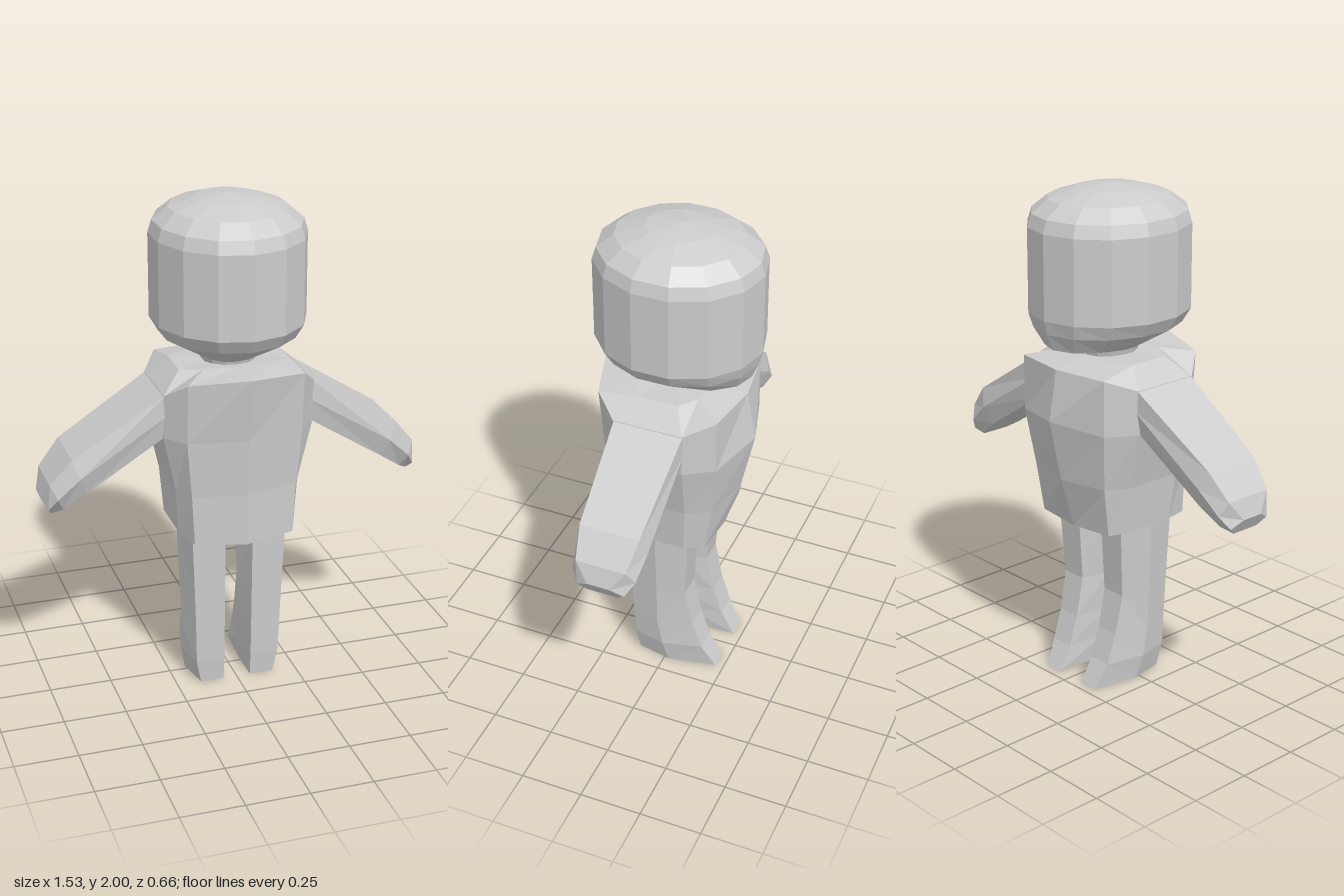
import * as THREE from 'three';

const grey = new THREE.MeshStandardMaterial({ color: 0xcccccc, flatShading: true });
grey.name = 'plain grey';

// Skin a closed, capped surface over rings of [x, y, z] points; side = -1 mirrors it in x.
function loft(name, rings, side = 1) {
  const tris = [];
  const n = rings[0].length;
  const centre = (ring) => [0, 1, 2].map((k) => ring.reduce((s, p) => s + p[k], 0) / n);
  const first = centre(rings[0]);
  const last = centre(rings[rings.length - 1]);
  for (let j = 0; j < n; j++) {
    const k = (j + 1) % n;
    tris.push([first, rings[0][k], rings[0][j]]);
    for (let i = 0; i + 1 < rings.length; i++) {
      const [a, b, c, d] = [rings[i][j], rings[i][k], rings[i + 1][k], rings[i + 1][j]];
      tris.push([a, b, c], [a, c, d]);
    }
    tris.push([last, rings[rings.length - 1][j], rings[rings.length - 1][k]]);
  }
  // Keep faces outward whatever the ring direction
  const v = tris.map((t) => t.map((p) => new THREE.Vector3(p[0] * side, p[1], p[2])));
  const volume = v.reduce((s, [a, b, c]) => s + a.dot(b.clone().cross(c)), 0);
  if (volume < 0) v.forEach((t) => t.reverse());
  const geometry = new THREE.BufferGeometry().setFromPoints(v.flat());
  geometry.computeVertexNormals();
  const mesh = new THREE.Mesh(geometry, grey);
  mesh.name = name;
  return mesh;
}

// Head and neck: 14-sided turned form, deeper than wide, with a chin at the back
function makeHead() {
  const profile = [
    [0, 1.33], [0.1, 1.33], [0.11, 1.37], [0.185, 1.415], [0.268, 1.465], [0.3, 1.52],
    [0.3, 1.85], [0.285, 1.9], [0.225, 1.95], [0.12, 1.985], [0, 2],
  ].map(([r, y]) => new THREE.Vector2(r, y));
  const geometry = new THREE.LatheGeometry(profile, 14);
  const pos = geometry.attributes.position;
  for (let i = 0; i < pos.count; i++) {
    const y = pos.getY(i);
    let z = pos.getZ(i) * 1.1;
    if (z < -0.1 && y > 1.4 && y < 1.43) {
      z *= 1.42;
      pos.setY(i, 1.4);
    } else if (z < -0.1 && y > 1.45 && y < 1.48) z *= 1.07;
    pos.setZ(i, z);
  }
  geometry.computeVertexNormals();
  const head = new THREE.Mesh(geometry, grey);
  head.name = 'head';
  return head;
}

// Torso: ten-point rings from half sections that run from front centre to back centre
function makeTorso() {
  const halves = [
    [[0, 0.66, 0.25], [0.2, 0.67, 0.21], [0.235, 0.68, 0.1], [0.235, 0.68, -0.11], [0.19, 0.67, -0.18], [0, 0.66, -0.19]],
    [[0, 0.87, 0.25], [0.21, 0.87, 0.21], [0.25, 0.87, 0.12], [0.25, 0.87, -0.12], [0.2, 0.87, -0.21], [0, 0.87, -0.255]],
    [[0, 1.1, 0.27], [0.23, 1.1, 0.22], [0.3, 1.1, 0.14], [0.3, 1.1, -0.13], [0.23, 1.1, -0.24], [0, 1.12, -0.31]],
    [[0, 1.36, 0.31], [0.23, 1.34, 0.24], [0.3, 1.275, 0.15], [0.3, 1.275, -0.13], [0.23, 1.32, -0.24], [0, 1.32, -0.275]],
    [[0, 1.36, 0.15], [0.14, 1.358, 0.13], [0.22, 1.35, 0.08], [0.22, 1.35, -0.08], [0.14, 1.345, -0.13], [0, 1.345, -0.15]],
  ];
  const rings = halves.map((half) => [
    ...half,
    ...half.slice(1, -1).reverse().map(([x, y, z]) => [-x, y, z]),
  ]);
  return loft('torso', rings);
}

// Arm: six-sided sections given by top x,y, bottom x,y and half depths at top, middle, bottom
function makeArm(side) {
  const sections = [
    [0.28, 1.285, 0.28, 1.11, 0.14, 0.142, 0.125],
    [0.655, 1.05, 0.6, 0.905, 0.12, 0.142, 0.115],
    [0.74, 0.95, 0.69, 0.842, 0.1, 0.128, 0.095],
    [0.765, 0.875, 0.73, 0.815, 0.045, 0.095, 0.06],
  ];
  const zc = 0.008;
  const rings = sections.map(([tx, ty, bx, by, zt, zm, zb]) => {
    const mx = (tx + bx) / 2, my = (ty + by) / 2;
    return [
      [tx, ty, zc + zt], [mx, my, zc + zm], [bx, by, zc + zb],
      [bx, by, zc - zb], [mx, my, zc - zm], [tx, ty, zc - zt],
    ];
  });
  return loft(side > 0 ? 'leftArm' : 'rightArm', rings, side);
}

// Leg: six-sided sections given by height, inner x, outer x, front z, back z, middle z
function makeLeg(side) {
  const sections = [
    [0, 0.055, 0.18, 0.12, -0.215, -0.02],
    [0.1, 0.045, 0.2, 0.13, -0.16, 0],
    [0.22, 0.04, 0.203, 0.135, -0.12, 0.02],
    [0.38, 0.035, 0.208, 0.14, -0.088, 0.02],
    [0.69, 0.02, 0.22, 0.15, -0.108, 0.02],
  ];
  const rings = sections.map(([y, xi, xo, zf, zb, zm]) => {
    const fi = Math.max(xi, 0.056), fo = xo - 0.028;
    return [
      [fi, y, zf], [fo, y, zf], [xo, y, zm],
      [fo - 0.01, y, zb], [fi + 0.01, y, zb], [xi, y, zm],
    ];
  });
  return loft(side > 0 ? 'leftLeg' : 'rightLeg', rings, side);
}

export function createModel() {
  const model = new THREE.Group();
  model.name = 'figure';
  model.add(makeHead(), makeTorso());
  for (const side of [1, -1]) model.add(makeArm(side), makeLeg(side));
  return model;
}
